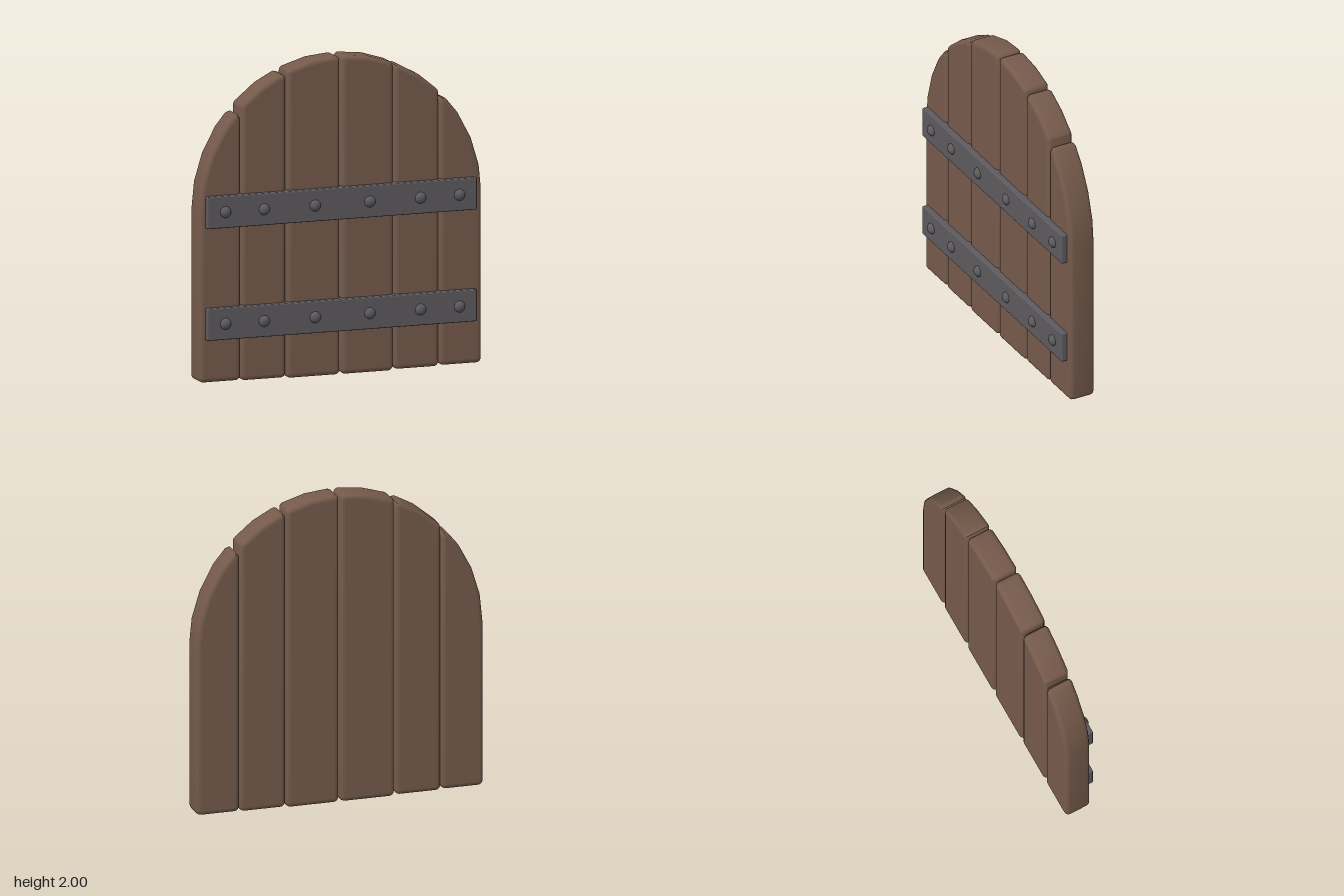
import * as THREE from 'three';
import { toCreasedNormals } from 'three/addons/utils/BufferGeometryUtils.js';
import { RoundedBoxGeometry } from 'three/addons/geometries/RoundedBoxGeometry.js';

const ARCH_Y = 1.07, ARCH_R = 0.93, BEVEL = 0.028, BACK = -0.117, FRONT = 0.054;

// Vertices of the 16-sided half circle, pulled in by the bevel, from left to right
const arch = [];
for (let i = 0; i <= 16; i++) {
  const a = Math.PI * (1 - i / 16), r = ARCH_R - BEVEL;
  arch.push(new THREE.Vector2(r * Math.cos(a), ARCH_Y + r * Math.sin(a)));
}

function archHeight(x) {
  for (let i = 0; i < 16; i++) {
    const p = arch[i], q = arch[i + 1];
    if (x <= q.x) return p.y + (q.y - p.y) * Math.max(0, (x - p.x) / (q.x - p.x));
  }
  return ARCH_Y;
}

// Replaces sharp corners by tiny arcs, which the bevel widens into round edges
function roundCorners(points, r) {
  const out = [], n = points.length;
  points.forEach((p, i) => {
    const u = points[(i + n - 1) % n].clone().sub(p).normalize();
    const v = points[(i + 1) % n].clone().sub(p).normalize();
    if (u.dot(v) < -0.9) { out.push(p); return; }
    const curve = new THREE.QuadraticBezierCurve(
      p.clone().addScaledVector(u, r), p, p.clone().addScaledVector(v, r));
    out.push(...curve.getPoints(4));
  });
  return out;
}

function plankGeometry(x0, x1, y0) {
  const l = x0 + BEVEL, r = x1 - BEVEL;
  const top = arch.filter(p => p.x > l + 0.012 && p.x < r - 0.012).reverse();
  const outline = roundCorners([
    new THREE.Vector2(l, y0 + BEVEL), new THREE.Vector2(r, y0 + BEVEL),
    new THREE.Vector2(r, archHeight(r)), ...top, new THREE.Vector2(l, archHeight(l)),
  ], 0.004);
  const geometry = new THREE.ExtrudeGeometry(new THREE.Shape(outline), {
    depth: FRONT - BACK - 2 * BEVEL, steps: 1,
    bevelEnabled: true, bevelSize: BEVEL, bevelThickness: BEVEL, bevelSegments: 4,
  });
  geometry.translate(0, 0, BACK + BEVEL);
  // Smooth rim, flat front and back faces
  const flat = geometry.attributes.normal.clone();
  const smooth = toCreasedNormals(geometry, 0.6);
  const lid = geometry.groups[0];
  for (let i = lid.start; i < lid.start + lid.count; i++) {
    smooth.attributes.normal.setXYZ(i, flat.getX(i), flat.getY(i), flat.getZ(i));
  }
  smooth.clearGroups();
  return smooth;
}

export function createModel() {
  const door = new THREE.Group();
  door.name = 'archedDoor';
  const wood = new THREE.MeshStandardMaterial({ color: 0x755a4b });
  wood.name = 'brown wood';
  const iron = new THREE.MeshStandardMaterial({ color: 0x5c5a5e });
  iron.name = 'dark iron';

  const add = (parent, name, geometry, material, x = 0, y = 0, z = 0) => {
    const mesh = new THREE.Mesh(geometry, material);
    mesh.name = name;
    mesh.position.set(x, y, z);
    parent.add(mesh);
  };

  // Six upright planks: left edge, right edge, bottom
  const planks = [
    [-0.93, -0.66, 0.01], [-0.655, -0.362, 0.006], [-0.355, -0.005, 0],
    [0.005, 0.345, 0], [0.352, 0.645, 0.006], [0.65, 0.926, 0.01],
  ];
  planks.forEach((p, i) => add(door, 'plank' + (i + 1), plankGeometry(...p), wood));

  // Two iron straps with a rivet on every plank
  const strapGeometry = new RoundedBoxGeometry(1.775, 0.2, 0.12, 2, 0.008);
  const rivetGeometry = new THREE.SphereGeometry(0.037, 20, 14);
  rivetGeometry.scale(1, 1, 0.9);
  for (const [name, y] of [['upperStrap', 1.08], ['lowerStrap', 0.38]]) {
    const strap = new THREE.Group();
    strap.name = name;
    strap.position.y = y;
    door.add(strap);
    add(strap, 'bar', strapGeometry, iron, -0.007, 0, 0.031);
    for (const x of [-0.775, -0.52, -0.185, 0.175, 0.508, 0.765]) {
      add(strap, 'rivet', rivetGeometry, iron, x, 0, 0.084);
    }
  }
  return door;
}
